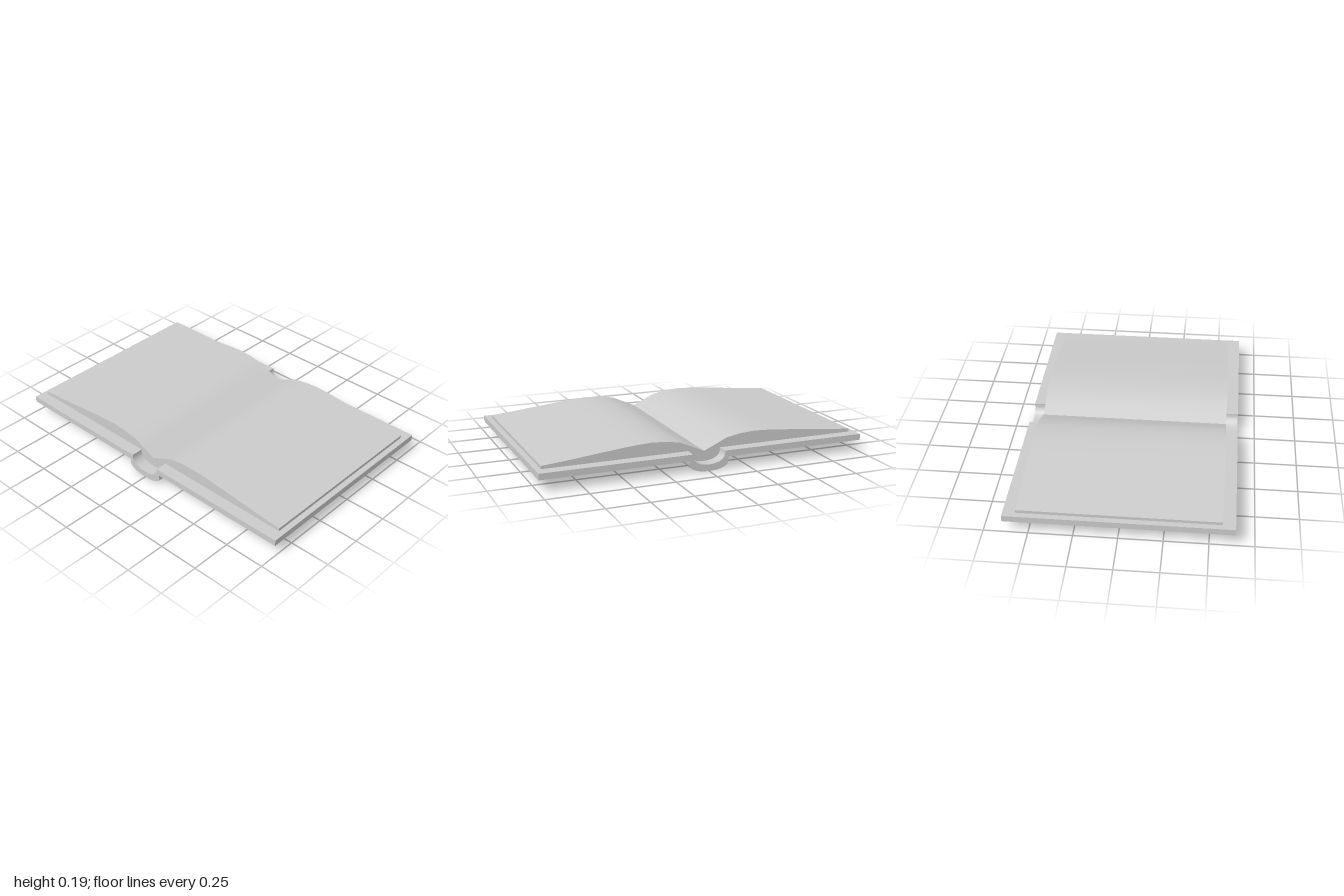
import * as THREE from 'three';
import { toCreasedNormals } from 'three/addons/utils/BufferGeometryUtils.js';

const material = new THREE.MeshStandardMaterial({ color: 0xcccccc });

// Turns a half outline [z, y] into the full list, running from +z to -z
const mirror = (half) => [
  ...half,
  ...half.slice().reverse().filter(([z]) => z > 0).map(([z, y]) => [-z, y]),
];

// Extrudes a [z, y] outline across the given width in x, centred
function extrudeAcross(name, outline, width) {
  const shape = new THREE.Shape(outline.map(([z, y]) => new THREE.Vector2(z, y)));
  const geometry = new THREE.ExtrudeGeometry(shape, { depth: width, bevelEnabled: false });
  geometry.rotateY(-Math.PI / 2).translate(width / 2, 0, 0);
  const mesh = new THREE.Mesh(toCreasedNormals(geometry, 0.6), material);
  mesh.name = name;
  return mesh;
}

export function createModel() {
  const book = new THREE.Group();
  book.name = 'openBook';

  // Inside of the rounded spine, shared by the cover and the page block
  const gutter = mirror([
    [0.1, 0.11], [0.1, 0.09], [0.094, 0.075], [0.08, 0.059],
    [0.057, 0.048], [0.03, 0.042], [0, 0.04],
  ]);

  // Outside of the cover: flat boards joined by the rounded spine
  const outside = mirror([
    [1, 0.073], [0.12, 0.073], [0.12, 0.045], [0.114, 0.032], [0.1, 0.02],
    [0.075, 0.009], [0.045, 0.003], [0, 0],
  ]);
  const inside = [[1, 0.11], ...gutter, [-1, 0.11]].reverse();
  book.add(extrudeAcross('cover', [...outside, ...inside], 1.284));

  // Two swelling stacks of pages meeting in the central fold
  const pageTops = mirror([
    [0.965, 0.128], [0.8, 0.143], [0.65, 0.159], [0.48, 0.176], [0.4, 0.182],
    [0.32, 0.186], [0.23, 0.18], [0.145, 0.165], [0.07, 0.131], [0, 0.1],
  ]);
  const pageBase = [[0.965, 0.11], ...gutter, [-0.965, 0.11]].reverse();
  book.add(extrudeAcross('pages', [...pageTops, ...pageBase], 1.14));

  return book;
}
